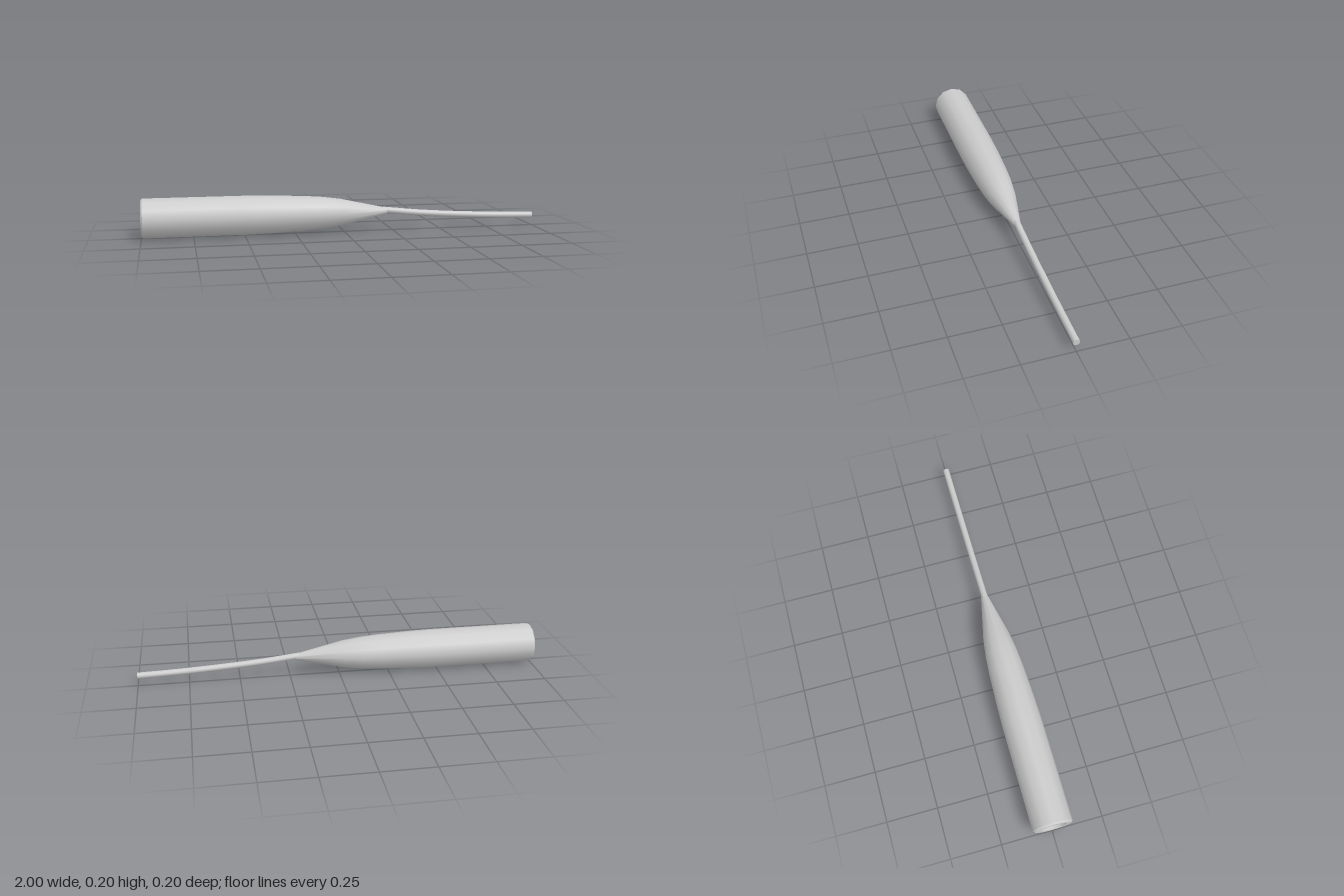
import * as THREE from 'three';

const SIDES = 12;
const AXIS_Y = 0.098;

export function createModel() {
  const group = new THREE.Group();
  const material = new THREE.MeshStandardMaterial({ color: 0xcccccc });

  function add(name, geometry) {
    const mesh = new THREE.Mesh(geometry, material);
    mesh.name = name;
    group.add(mesh);
    return mesh;
  }

  // Turned section along x; each profile point is [radius, x]
  function turned(name, profile) {
    const points = profile.map(([r, x]) => new THREE.Vector2(r, x));
    const geometry = new THREE.LatheGeometry(points, SIDES);
    geometry.rotateZ(-Math.PI / 2);
    add(name, geometry).position.y = AXIS_Y;
  }

  // Stepped socket in the back end, from its floor outwards
  turned('socketFloor', [[0, -0.85], [0.05, -0.85]]);
  turned('socketWall', [[0.05, -0.85], [0.05, -0.98]]);
  turned('socketStep', [[0.05, -0.98], [0.068, -0.98]]);
  turned('rimWall', [[0.068, -0.98], [0.068, -1]]);
  turned('rim', [[0.068, -1], [0.09, -1]]);
  turned('rimBevel', [[0.09, -1], [0.098, -0.992]]);

  // Straight barrel narrowing to the tail
  turned('body', [
    [0.098, -0.992], [0.098, -0.48], [0.095, -0.36], [0.088, -0.2],
    [0.081, -0.11], [0.069, -0.02], [0.016, 0.22],
  ]);

  // Thin tail drooping gently forward
  const path = new THREE.CatmullRomCurve3([
    [0.2, 0.104], [0.4, 0.083], [0.6, 0.069], [0.8, 0.059], [0.999, 0.053],
  ].map(([x, y]) => new THREE.Vector3(x, y, 0)));
  const radius = 0.016;
  add('tail', new THREE.TubeGeometry(path, 12, radius, SIDES));

  // Flat end of the tail
  const cap = add('tailEnd', new THREE.CircleGeometry(radius, SIDES));
  cap.position.copy(path.getPoint(1));
  cap.quaternion.setFromUnitVectors(new THREE.Vector3(0, 0, 1), path.getTangent(1));

  return group;
}
